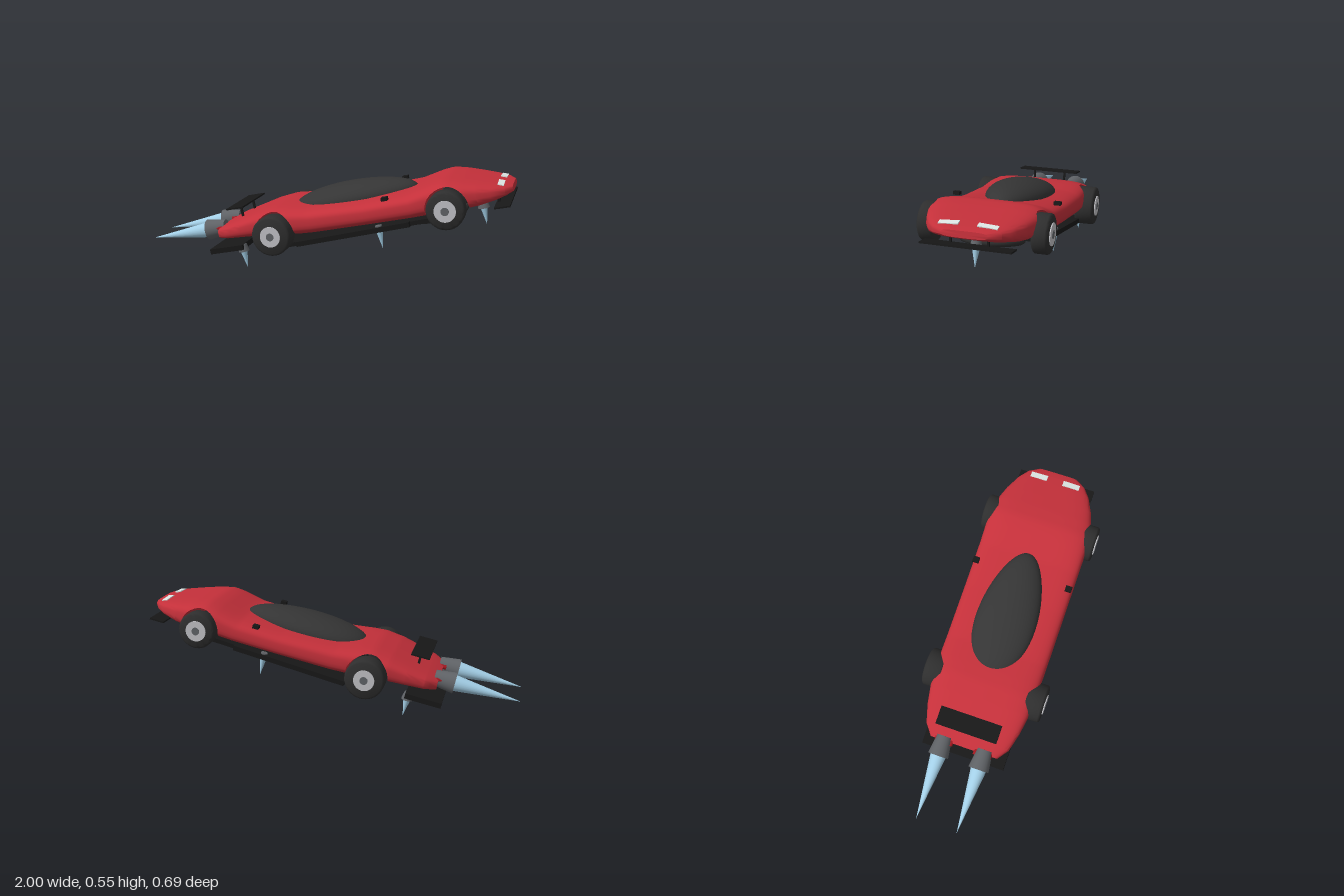
import * as THREE from 'three';
import { toCreasedNormals } from 'three/addons/utils/BufferGeometryUtils.js';

const mat = (name, color, side = THREE.FrontSide) => {
  const m = new THREE.MeshStandardMaterial({ color, side });
  m.name = name;
  return m;
};
const M = {
  red: mat('red paint', 0xc4303a),
  tail: mat('tail lamp red', 0xa01820),
  glass: mat('dark glass', 0x353535),
  tyre: mat('tyre rubber', 0x2e2e2e),
  black: mat('black trim', 0x181818),
  metal: mat('nozzle grey', 0x606367),
  dish: mat('dish grey', 0x56585c, THREE.DoubleSide),
  silver: mat('rim silver', 0xc2c2c6),
  lamp: mat('lamp white', 0xdfe8e6),
  flame: mat('ice blue flame', 0xa4d0e8),
};

function add(parent, name, geo, material, x = 0, y = 0, z = 0) {
  const mesh = new THREE.Mesh(geo, material);
  mesh.name = name;
  mesh.position.set(x, y, z);
  parent.add(mesh);
  return mesh;
}
const box = (parent, name, m, size, pos) => add(parent, name, new THREE.BoxGeometry(...size), m, ...pos);

// Body stations: along, top, bottom, half width
const STATIONS = [
  [-0.36, 0.055, -0.012, 0.19], [-0.3, 0.072, -0.015, 0.235], [-0.2, 0.093, -0.017, 0.262],
  [-0.1, 0.115, -0.022, 0.278], [0, 0.126, -0.03, 0.283], [0.07, 0.119, -0.04, 0.286],
  [0.2, 0.1, -0.044, 0.286], [0.5, 0.09, -0.042, 0.286], [0.74, 0.097, -0.04, 0.286],
  [0.86, 0.124, -0.038, 0.287], [0.92, 0.131, -0.038, 0.285], [1.0, 0.113, -0.037, 0.272],
  [1.08, 0.09, -0.032, 0.245], [1.16, 0.066, -0.02, 0.205], [1.21, 0.05, -0.008, 0.165],
  [1.243, 0.034, 0.002, 0.11],
];
const WHEELS = [
  { name: 'rear', u: 0, r: 0.105, inner: 0.235, outer: 0.338, arch: 0.112 },
  { name: 'front', u: 0.927, r: 0.0975, inner: 0.24, outer: 0.32, arch: 0.108 },
];

function station(u) {
  let i = 0;
  while (i < STATIONS.length - 2 && u > STATIONS[i + 1][0]) i++;
  const a = STATIONS[i], b = STATIONS[i + 1];
  const t = THREE.MathUtils.clamp((u - a[0]) / (b[0] - a[0]), 0, 1);
  return a.map((v, k) => v + (b[k] - v) * t);
}

// Rounded cross-sections lofted along the car, cut away over each axle
function bodyGeometry() {
  const cuts = STATIONS.map((s) => [s[0], -1]);
  for (let i = 1; i < 48; i++) cuts.push([-0.36 + (1.603 * i) / 48, -1]);
  let rings = cuts.filter(([u]) => WHEELS.every((w) => Math.abs(u - w.u) > w.arch + 0.003));
  for (const w of WHEELS) {
    rings.push([w.u - w.arch - 1e-4, -1], [w.u + w.arch + 1e-4, -1]);
    for (let k = 0; k <= 14; k++) {
      const a = (Math.PI * k) / 14;
      rings.push([w.u - w.arch * Math.cos(a), w.arch * Math.sin(a)]);
    }
  }
  rings.sort((a, b) => a[0] - b[0]);
  rings = [[...rings[0], 0], ...rings.map((r) => [...r, 1]), [...rings[rings.length - 1], 0]];
  const N = 48, pos = [], index = [];
  rings.forEach(([u, cut, scale], i) => {
    const [, top, bot, w] = station(u);
    const mid = bot + (top - bot) * 0.45;
    const rel = Math.max(0, (cut - mid) / (top - mid));
    const zCut = w * Math.pow(Math.max(0, 1 - rel ** 4), 0.25);
    for (let j = 0; j <= N; j++) {
      const t = (2 * Math.PI * j) / N, c = Math.cos(t), s = Math.sin(t);
      const e = s >= 0 ? 0.5 : 0.66;
      let z = w * Math.sign(c) * Math.abs(c) ** e;
      let v = mid + (s >= 0 ? top - mid : bot - mid) * Math.abs(s) ** e;
      if (v < cut) {
        v = cut;
        z = Math.sign(z) * Math.min(Math.abs(z), zCut);
      }
      pos.push(u, mid + (v - mid) * scale, z * scale);
      if (i < rings.length - 1 && j < N) {
        const a = i * (N + 1) + j, d = a + N + 1;
        index.push(a, d, a + 1, a + 1, d, d + 1);
      }
    }
  });
  const g = new THREE.BufferGeometry();
  g.setAttribute('position', new THREE.Float32BufferAttribute(pos, 3));
  g.setIndex(index);
  return toCreasedNormals(g, 0.7);
}

// Flared nozzle with a pointed flame; local +y is the thrust direction
function thruster(parent, name, pos, turn, r, neck, depth, flameR, length) {
  const g = new THREE.Group();
  g.name = name;
  g.position.set(...pos);
  g.rotation.z = turn;
  parent.add(g);
  add(g, 'nozzle', new THREE.CylinderGeometry(r, neck, depth, 24), M.metal, 0, -depth / 2, 0);
  add(g, 'flame', new THREE.ConeGeometry(flameR, length, 24), M.flame, 0, length / 2, 0);
}

function wheel(parent, w, side) {
  const g = new THREE.Group();
  g.name = w.name + 'Wheel';
  g.position.set(w.u, 0, (side * (w.inner + w.outer)) / 2);
  g.rotation.x = (side * Math.PI) / 2;
  parent.add(g);
  const h = (w.outer - w.inner) / 2, b = 0.012;
  const profile = [[0, -h], [w.r - b, -h], [w.r - b * 0.3, -h + b * 0.4], [w.r, -h + b],
    [w.r, h - b], [w.r - b * 0.3, h - b * 0.4], [w.r - b, h], [0, h]];
  const tyre = new THREE.LatheGeometry(profile.map((p) => new THREE.Vector2(...p)), 40);
  add(g, 'tyre', toCreasedNormals(tyre, 0.7), M.tyre);
  add(g, 'rim', new THREE.CylinderGeometry(0.055, 0.055, 0.006, 32), M.silver, 0, h + 0.002, 0);
  add(g, 'hub', new THREE.CylinderGeometry(0.021, 0.021, 0.008, 20), M.metal, 0, h + 0.003, 0);
}

export function createModel() {
  const model = new THREE.Group();
  model.name = 'flyingCar';

  // Car frame: origin on the rear axle, pitched nose up
  const car = new THREE.Group();
  car.name = 'car';
  car.position.set(-0.21, 0.235, 0);
  car.rotation.z = 0.2175;
  model.add(car);

  add(car, 'body', bodyGeometry(), M.red);

  // Egg-shaped canopy, narrower toward the nose
  const dome = new THREE.SphereGeometry(1, 48, 24);
  const p = dome.attributes.position;
  for (let i = 0; i < p.count; i++) p.setZ(i, p.getZ(i) * (1 - 0.18 * p.getX(i)));
  dome.scale(0.345, 0.085, 0.165);
  dome.computeVertexNormals();
  add(car, 'canopy', dome, M.glass, 0.405, 0.086, 0);

  // Wings and diffuser
  box(car, 'rearWing', M.black, [0.1, 0.008, 0.34], [-0.239, 0.148, 0]);
  box(car, 'frontWing', M.black, [0.08, 0.008, 0.435], [1.189, -0.043, 0]);
  box(car, 'diffuser', M.black, [0.195, 0.028, 0.47], [-0.312, -0.059, 0]);
  for (const z of [-0.17, -0.085, 0.085, 0.17])
    box(car, 'diffuserFin', M.black, [0.17, 0.01, 0.007], [-0.315, -0.076, z]);

  thruster(car, 'noseThruster', [1.068, -0.078, 0], Math.PI, 0.031, 0.02, 0.05, 0.018, 0.093);

  for (const s of [-1, 1]) {
    for (const w of WHEELS) wheel(car, w, s);
    thruster(car, 'mainThruster', [-0.446, 0.042, s * 0.115], Math.PI / 2, 0.057, 0.042, 0.11, 0.043, 0.353);
    thruster(car, 'rearLiftThruster', [-0.228, -0.0875, s * 0.197], Math.PI, 0.03, 0.022, 0.04, 0.019, 0.096);
    thruster(car, 'sideLiftThruster', [0.56, -0.069, s * 0.242], Math.PI, 0.022, 0.018, 0.03, 0.018, 0.098);
    box(car, 'wingStrut', M.black, [0.012, 0.07, 0.01], [-0.235, 0.113, s * 0.09]);
    box(car, 'frontWingStrut', M.black, [0.015, 0.035, 0.01], [1.165, -0.026, s * 0.09]);
    box(car, 'mirror', M.black, [0.032, 0.018, 0.034], [0.625, 0.097, s * 0.265]);
    const lamp = box(car, 'headlight', M.lamp, [0.032, 0.009, 0.095], [1.19, 0.055, s * 0.0925]);
    lamp.rotation.set(s * 0.06, 0, -0.33);
    for (const z of [0.07, 0.15]) {
      const t = add(car, 'tailLight', new THREE.CylinderGeometry(0.012, 0.012, 0.03, 16), M.tail, -0.362, 0.048, s * z);
      t.rotation.z = Math.PI / 2;
    }
  }

  // Belly: flat floor, sills and two round lift dishes
  const belly = new THREE.Group();
  belly.name = 'belly';
  belly.position.set(0.2075, 0.2485, 0);
  belly.rotation.z = 0.254;
  model.add(belly);
  box(belly, 'floor', M.black, [0.9, 0.022, 0.484], [0, 0.011, 0]);
  for (const s of [-1, 1]) box(belly, 'sill', M.black, [0.62, 0.026, 0.028], [0.005, 0.013, s * 0.255]);
  const bowl = [[0, 0], [0.05, -0.002], [0.09, -0.007], [0.12, -0.015], [0.135, -0.022]];
  for (const u of [-0.05, 0.415]) {
    const ring = add(belly, 'liftRing', new THREE.TorusGeometry(0.146, 0.017, 12, 48), M.tyre, u, -0.01, 0);
    ring.rotation.x = Math.PI / 2;
    add(belly, 'liftDish', new THREE.LatheGeometry(bowl.map((q) => new THREE.Vector2(...q)), 48), M.dish, u, -0.002, 0);
  }
  return model;
}
